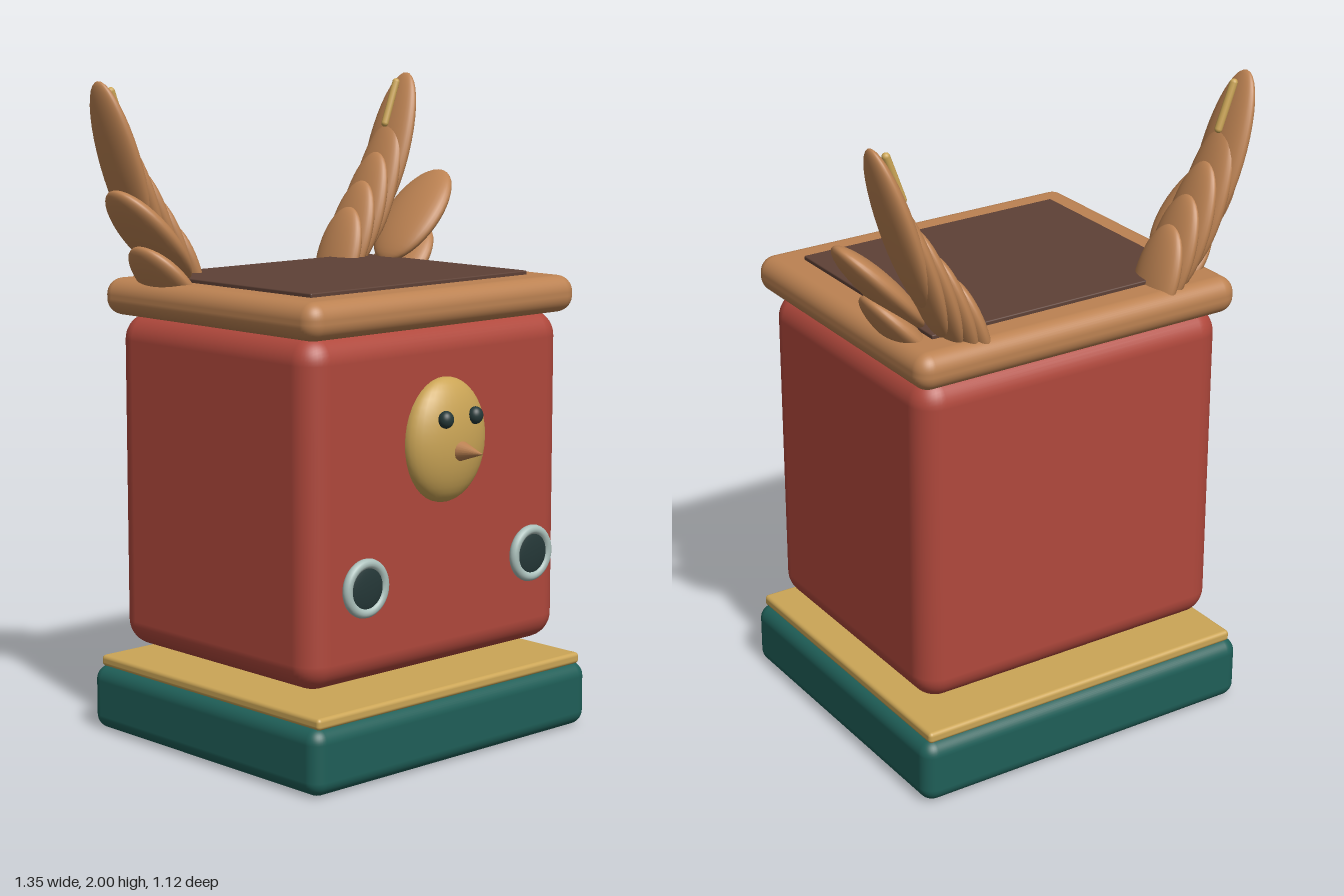
import * as THREE from 'three';
import { RoundedBoxGeometry } from 'three/addons/geometries/RoundedBoxGeometry.js';

const paint = (color) => new THREE.MeshStandardMaterial({ color });

export function createModel() {
  const model = new THREE.Group();
  model.name = 'birdBox';

  const teal = paint(0x1f5f58), gold = paint(0xcba556), red = paint(0xb0483c);
  const brown = paint(0xbc8252), soil = paint(0x5e4136), dark = paint(0x253838), silver = paint(0xaabfba);

  const add = (name, geometry, material, x, y, z, parent = model) => {
    const mesh = new THREE.Mesh(geometry, material);
    mesh.name = name;
    mesh.position.set(x, y, z);
    parent.add(mesh);
    return mesh;
  };

  // Rounded box given by its half width, y range, z range and edge radius
  const slab = (name, material, halfX, y0, y1, z0, z1, radius) =>
    add(name, new RoundedBoxGeometry(halfX * 2, y1 - y0, z1 - z0, 5, radius), material,
      0, (y0 + y1) / 2, (z0 + z1) / 2);

  const ellipsoid = (name, material, center, radii, parent) => {
    const geometry = new THREE.SphereGeometry(1, 32, 20).scale(...radii);
    return add(name, geometry, material, ...center, parent);
  };

  // Stacked box: base, trim, floating body, rim and top panel
  slab('base', teal, 0.575, 0, 0.2, -0.56, 0.47, 0.045);
  slab('baseTrim', gold, 0.55, 0.195, 0.23, -0.54, 0.455, 0.012);
  slab('body', red, 0.525, 0.275, 1.3, -0.48, 0.395, 0.08);
  slab('rim', brown, 0.55, 1.293, 1.405, -0.515, 0.43, 0.05);
  slab('topPanel', soil, 0.445, 1.385, 1.417, -0.405, 0.312, 0.004);

  // Face with beak
  ellipsoid('face', gold, [0, 0.96, 0.4], [0.156, 0.186, 0.076]);
  const beak = add('beak', new THREE.ConeGeometry(0.034, 0.1, 20), brown, 0, 0.935, 0.51);
  beak.rotation.x = Math.PI / 2;

  // Fan feathers: x, y, half length, from the outermost to the innermost
  const fan = [
    [0.55, 1.747, 0.262], [0.49, 1.625, 0.228], [0.435, 1.55, 0.203],
    [0.38, 1.48, 0.182], [0.327, 1.415, 0.165],
  ];

  for (const side of [-1, 1]) {
    ellipsoid('eye', dark, [side * 0.061, 1.033, 0.469], [0.024, 0.026, 0.022]);

    // Round front lamp
    const lamp = new THREE.Group();
    lamp.name = 'lamp';
    lamp.position.set(side * 0.345, 0.573, 0.432);
    add('lampRing', new THREE.TorusGeometry(0.072, 0.015, 14, 40), silver, 0, 0, 0, lamp);
    ellipsoid('lampGlass', dark, [0, 0, 0], [0.07, 0.07, 0.014], lamp);
    model.add(lamp);

    // Wing at the rear corner
    const wing = new THREE.Group();
    wing.name = side > 0 ? 'leftWing' : 'rightWing';
    for (const [x, y, half] of fan) {
      ellipsoid('fanFeather', brown, [side * x, y, -0.405], [0.036, half, 0.092], wing)
        .rotation.z = -side * 0.32;
    }
    ellipsoid('sideFeather', brown, [side * 0.545, 1.543, -0.285], [0.042, 0.188, 0.12], wing)
      .rotation.z = -side * 0.74;
    ellipsoid('lowerSideFeather', brown, [side * 0.485, 1.4, -0.285], [0.04, 0.15, 0.116], wing)
      .rotation.z = -side * 0.72;
    const quill = add('quill', new THREE.CapsuleGeometry(0.012, 0.14, 6, 12), gold,
      side * 0.56, 1.9, -0.405, wing);
    quill.rotation.z = -side * 0.36;
    model.add(wing);
  }

  return model;
}
